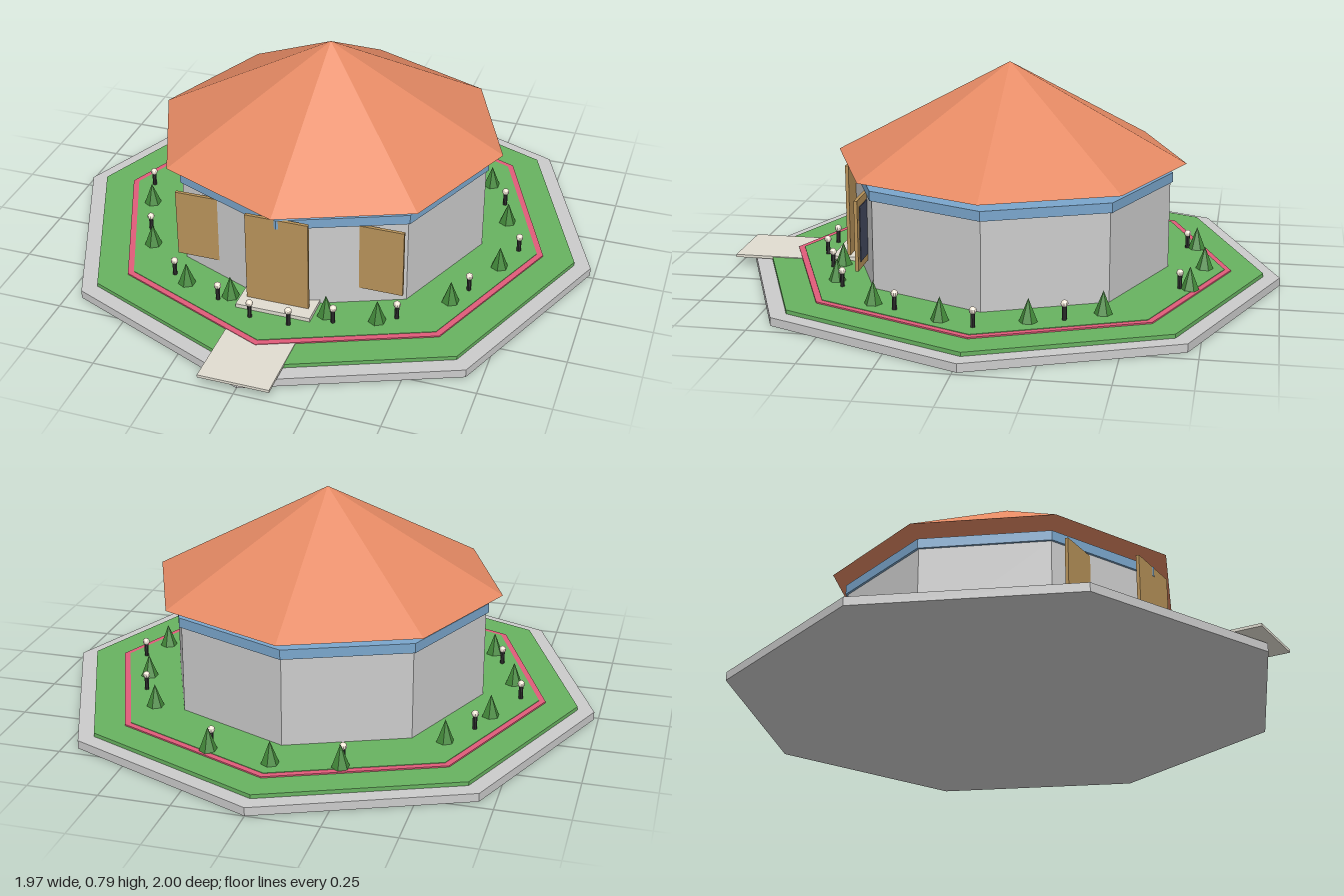
import * as THREE from 'three';

const CZ = -0.015; // centre of the octagons

const mat = (color) => new THREE.MeshStandardMaterial({ color, flatShading: true });

export function createModel() {
  const model = new THREE.Group();
  const grey = mat(0xcccccc), grass = mat(0x68b260), pink = mat(0xe05c7a);
  const stone = mat(0xe0dcd0), blue = mat(0x7aa6cc), wood = mat(0xb8935a);
  const glass = mat(0x444a60), tile = mat(0xe58a64), leaf = mat(0x43893a);
  const dark = mat(0x333333), bulb = mat(0xf0e6d6);

  const add = (name, geometry, material, x, y, z, parent = model) => {
    const mesh = new THREE.Mesh(geometry, material);
    mesh.name = name;
    mesh.position.set(x, y, z);
    parent.add(mesh);
    return mesh;
  };
  // Octagonal slab with one corner pointing to the front
  const octagon = (name, r, y0, y1, material) =>
    add(name, new THREE.CylinderGeometry(r, r, y1 - y0, 8), material, 0, (y0 + y1) / 2, CZ);
  // Box given by its size, bottom and centre
  const box = (name, w, h, d, material, x, y0, z, parent) =>
    add(name, new THREE.BoxGeometry(w, h, d), material, x, y0 + h / 2, z, parent);

  // Ground layers
  octagon('plinth', 0.985, 0, 0.03, grey);
  octagon('lawn', 0.925, 0.03, 0.044, grass);
  octagon('flowerBorder', 0.81, 0.04, 0.049, pink);
  octagon('innerLawn', 0.787, 0.04, 0.051, grass);
  box('path', 0.25, 0.01, 0.3, stone, 0, 0.037, 0.85);
  box('doorStep', 0.27, 0.02, 0.12, stone, 0, 0.045, 0.565);

  // Building
  octagon('walls', 0.583, 0.045, 0.37, grey);
  octagon('eavesBand', 0.592, 0.37, 0.405, blue);
  add('roof', new THREE.ConeGeometry(0.64, 0.35, 8), tile, 0, 0.615, CZ);
  box('door', 0.225, 0.345, 0.012, wood, 0, 0.06, 0.568);
  for (const side of [-1, 1]) {
    const window = new THREE.Group();
    window.name = side > 0 ? 'leftWindow' : 'rightWindow';
    box('shutter', 0.24, 0.255, 0.012, wood, side * 0.295, 0.11, 0.455, window);
    box('windowPane', 0.19, 0.2, 0.004, glass, side * 0.295, 0.137, 0.448, window);
    model.add(window);
  }

  // Garden planting and lamps, right half plus mirror image
  const mirrored = (spots, place) => {
    for (const [x, z] of spots) {
      place(x, z);
      if (x > 0) place(-x, z);
    }
  };
  const shrubGeometry = new THREE.ConeGeometry(0.033, 0.085, 6);
  mirrored([[0, -0.73], [0.23, -0.69], [0.525, -0.42], [0.64, -0.185], [0.675, 0.105],
    [0.56, 0.36], [0.35, 0.545], [0.175, 0.57]],
  (x, z) => add('shrub', shrubGeometry, leaf, x, 0.09, z));

  const postGeometry = new THREE.CylinderGeometry(0.008, 0.008, 0.06, 8);
  const bulbGeometry = new THREE.SphereGeometry(0.013, 10, 8);
  mirrored([[0.23, -0.655], [0.605, -0.3], [0.72, -0.015], [0.605, 0.275], [0.41, 0.51],
    [0.21, 0.6], [0.07, 0.66]],
  (x, z) => {
    const lamp = new THREE.Group();
    lamp.name = 'gardenLamp';
    lamp.position.set(x, 0, z);
    add('lampPost', postGeometry, dark, 0, 0.075, 0, lamp);
    add('lampBulb', bulbGeometry, bulb, 0, 0.108, 0, lamp);
    model.add(lamp);
  });

  return model;
}
